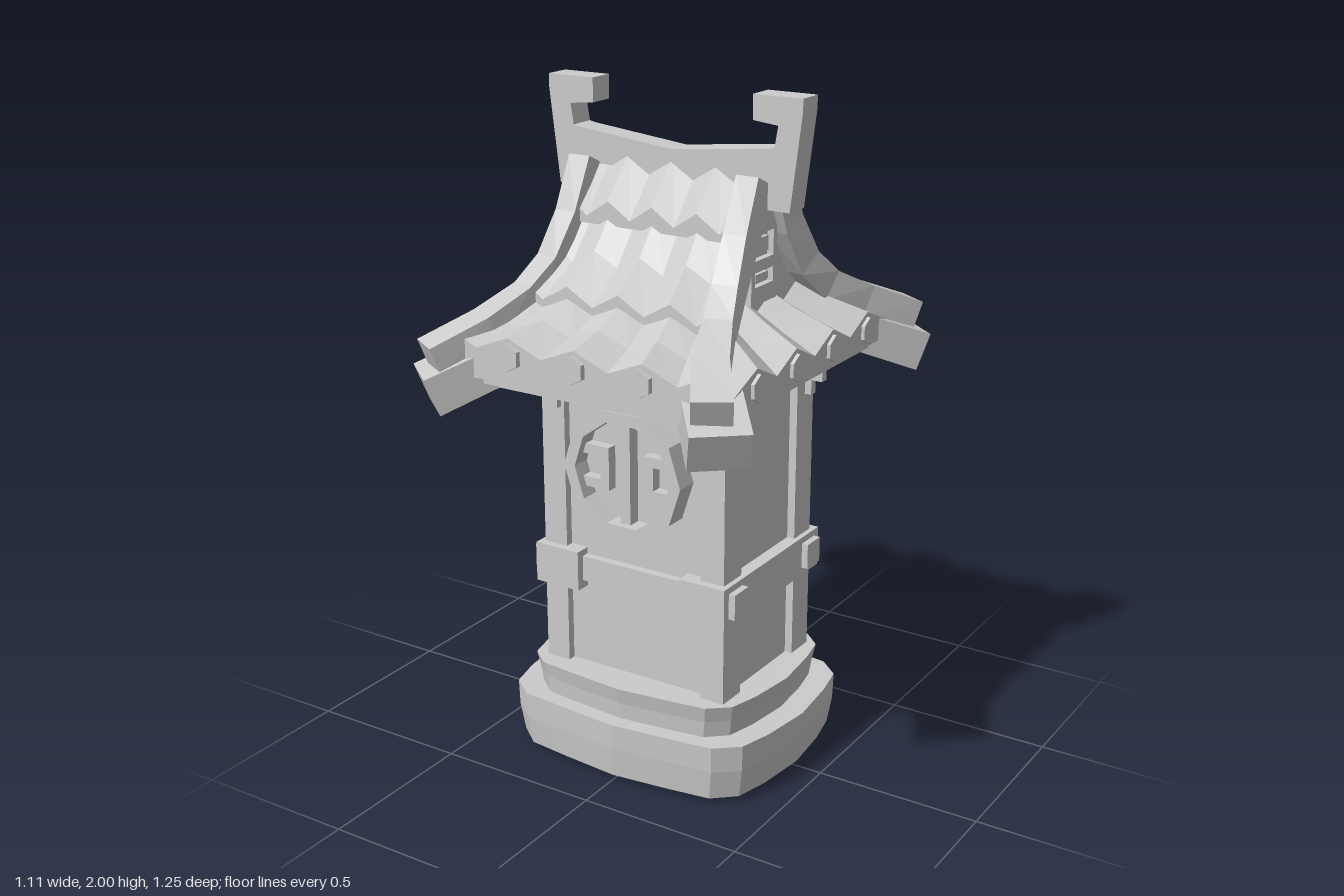
import * as THREE from 'three';

const stone = new THREE.MeshStandardMaterial({ color: 0xcccccc, flatShading: true, side: THREE.DoubleSide });
stone.name = 'stone grey';

function add(parent, name, geometry, x = 0, y = 0, z = 0) {
  const mesh = new THREE.Mesh(geometry, stone);
  mesh.name = name;
  mesh.position.set(x, y, z);
  parent.add(mesh);
  return mesh;
}
// box given by its limits on each axis
function block(parent, name, x0, x1, y0, y1, z0, z1) {
  return add(parent, name, new THREE.BoxGeometry(x1 - x0, y1 - y0, z1 - z0), (x0 + x1) / 2, (y0 + y1) / 2, (z0 + z1) / 2);
}
function outline(points, Type = THREE.Shape) {
  return new Type(points.map(p => new THREE.Vector2(p[0], p[1])));
}
function extrude(shape, depth) {
  return new THREE.ExtrudeGeometry(shape, { depth, bevelEnabled: false });
}

// closed solid through equal rings of points; turned outward by its signed volume
function loft(rings) {
  const tris = [], n = rings[0].length;
  const quad = (a, b, c, d) => tris.push([a, b, c], [a, c, d]);
  for (let r = 0; r + 1 < rings.length; r++)
    for (let i = 0; i < n; i++) {
      const j = (i + 1) % n;
      quad(rings[r][i], rings[r][j], rings[r + 1][j], rings[r + 1][i]);
    }
  const first = rings[0], last = rings[rings.length - 1];
  for (let i = 0; i + 1 < n / 2; i++) {
    quad(first[n - 1 - i], first[n - 2 - i], first[i + 1], first[i]);
    quad(last[i], last[i + 1], last[n - 2 - i], last[n - 1 - i]);
  }
  const cross = new THREE.Vector3();
  const volume = tris.reduce((s, [a, b, c]) => s + a.dot(cross.crossVectors(b, c)), 0);
  const points = tris.flatMap(([a, b, c]) => (volume < 0 ? [a, c, b] : [a, b, c]));
  const geometry = new THREE.BufferGeometry().setFromPoints(points);
  geometry.computeVertexNormals();
  return geometry;
}

// rectangular beam along a path of [x, y, z, width, thickness]
function beam(path, side) {
  const pts = path.map(p => new THREE.Vector3(p[0] * side, p[1], p[2]));
  return loft(pts.map((p, i) => {
    const t = pts[Math.min(i + 1, pts.length - 1)].clone().sub(pts[Math.max(i - 1, 0)]).normalize();
    const s = new THREE.Vector3(t.z, 0, -t.x).normalize();
    const up = new THREE.Vector3().crossVectors(t, s);
    const [, , , w, h] = path[i];
    return [[-1, 1], [1, 1], [1, -1], [-1, -1]].map(([a, b]) =>
      p.clone().addScaledVector(s, a * w / 2).addScaledVector(up, b * h / 2));
  }));
}

// wavy course of tiles: sections of [distance out, y, half width, underside y, wave height]
function tiles(us, hs, sections) {
  return loft(sections.map(([z, y, half, low, amp]) => [
    ...us.map((u, i) => new THREE.Vector3(u * half, y + hs[i] * amp, z)),
    ...us.map(u => new THREE.Vector3(u * half, low, z)).reverse(),
  ]));
}

// uneven plinth with cut corners: levels of [y, half x, half z]
function plinth(levels, seed) {
  const noise = i => Math.sin(i * 12.9 + seed * 4.1);
  const q = [[1, 0], [0.96, 0.45], [0.9, 0.74], [0.74, 0.9], [0.42, 0.95]];
  const plan = [];
  for (let k = 0; k < 4; k++)
    for (const [a, b] of k % 2 ? [[0, 1], ...q.slice(1).reverse()] : q)
      plan.push(k === 0 ? [a, b] : k === 1 ? [-a, b] : k === 2 ? [-a, -b] : [a, -b]);
  return loft(levels.map(([y, hx, hz], l) => plan.map(([a, b], i) => {
    const f = 1 + 0.02 * noise(i);
    return new THREE.Vector3(a * hx * f, y + (l ? 0.008 * noise(i + 7) : 0), b * hz * f);
  })));
}

function windowFrame() {
  const g = new THREE.Group();
  g.name = 'roundWindow';
  const decagon = r => Array.from({ length: 10 }, (_, i) => [r * Math.cos(i * Math.PI / 5), r * Math.sin(i * Math.PI / 5)]);
  const rim = outline(decagon(0.197));
  rim.holes.push(outline(decagon(0.16), THREE.Path));
  add(g, 'windowRim', extrude(rim, 0.095), 0, 0, 0.2);
  add(g, 'windowPane', extrude(outline(decagon(0.165)), 0.035), 0, 0, 0.2);
  block(g, 'windowBar', -0.017, 0.017, -0.158, 0.158, 0.22, 0.275);
  // square loops joined to the rim
  for (const s of [-1, 1]) {
    block(g, 'latticeInner', s * 0.075 - 0.015, s * 0.075 + 0.015, -0.065, 0.065, 0.22, 0.268);
    for (const y of [-0.05, 0.05])
      block(g, 'latticeBar', s * 0.115 - 0.04, s * 0.115 + 0.04, y - 0.015, y + 0.015, 0.22, 0.268);
  }
  g.position.set(-0.005, 0.937, 0);
  return g;
}

function knob(parent, x, y, z) {
  const geometry = new THREE.CylinderGeometry(0.04, 0.042, 0.035, 6).rotateX(Math.PI / 2);
  add(parent, 'eaveKnob', geometry, x, y, z);
}

// everything on the long side: window, beam, brackets, tiles and hip beams
function frontHalf() {
  const g = new THREE.Group();
  g.add(windowFrame());
  block(g, 'crossBeam', -0.345, 0.345, 0.56, 0.637, 0.175, 0.25);

  const us = [-1, -0.87, -0.58, -0.29, 0, 0.29, 0.58, 0.87, 1];
  const hs = [0, -1, 1, -1, 1, -1, 1, -1, 0];
  add(g, 'upperTiles', tiles(us, hs, [[0.02, 1.79, 0.25, 1.72, 0.022], [0.14, 1.655, 0.25, 1.61, 0.024]]));
  add(g, 'middleTiles', tiles(us, hs, [[0.11, 1.645, 0.25, 1.58, 0.02], [0.2, 1.53, 0.26, 1.47, 0.02], [0.31, 1.445, 0.29, 1.39, 0.024]]));
  add(g, 'lowerTiles', tiles(us, hs, [[0.27, 1.435, 0.28, 1.3, 0.018], [0.4, 1.375, 0.32, 1.235, 0.018], [0.52, 1.345, 0.375, 1.235, 0.022]]));
  for (const x of [-0.213, 0, 0.213]) knob(g, x, 1.315, 0.518);

  for (const s of [-1, 1]) {
    block(g, 'cornerPost', s * 0.27 - 0.039, s * 0.27 + 0.039, 0, 1.21, 0.155, 0.25);
    add(g, 'hipBeam', beam([
      [0.275, 1.77, 0.05, 0.07, 0.09], [0.275, 1.62, 0.12, 0.07, 0.09], [0.285, 1.495, 0.2, 0.075, 0.09],
      [0.312, 1.415, 0.29, 0.08, 0.09], [0.365, 1.35, 0.42, 0.1, 0.09], [0.457, 1.285, 0.565, 0.11, 0.085]], s));
    add(g, 'cornerBeam', beam([[0.31, 1.285, 0.36, 0.165, 0.11], [0.477, 1.185, 0.558, 0.165, 0.115]], s));
    // stepped eave bracket
    block(g, 'bracketArm', s * 0.267 - 0.025, s * 0.267 + 0.025, 1.155, 1.21, 0.2, 0.3);
    block(g, 'bracketFoot', s * 0.267 - 0.025, s * 0.267 + 0.025, 1.09, 1.16, 0.2, 0.268);
  }
  return g;
}

// everything on the gable side, modelled facing +z and then turned
function gableHalf() {
  const g = new THREE.Group();
  block(g, 'sideBeam', -0.275, 0.275, 0.535, 0.657, 0.175, 0.325);
  const us = [-1, -0.72, -0.48, -0.24, 0, 0.24, 0.48, 0.72, 1];
  const hs = [-1, 1, -1, 1, -1, 1, -1, 1, -1];
  add(g, 'skirtTiles', tiles(us, hs, [[0.25, 1.415, 0.3, 1.235, 0.02], [0.34, 1.365, 0.36, 1.235, 0.022], [0.445, 1.315, 0.44, 1.235, 0.025]]));
  for (const x of [-0.315, -0.105, 0.105, 0.315]) knob(g, x, 1.285, 0.438);

  // small ladder-shaped vent in the gable
  const rect = (y0, y1, h) => [[-h, y0], [h, y0], [h, y1], [-h, y1]];
  const vent = outline([[-0.07, 1.42], [0.07, 1.42], [0.07, 1.64], [0.045, 1.69], [-0.045, 1.69], [-0.07, 1.64]]);
  vent.holes.push(outline(rect(1.47, 1.512, 0.05), THREE.Path), outline(rect(1.545, 1.618, 0.05), THREE.Path));
  add(g, 'gableVent', extrude(vent, 0.03), 0, 0, 0.25);
  for (const [y0, y1] of [[1.48, 1.502], [1.56, 1.603]]) block(g, 'ventSlat', -0.035, 0.035, y0, y1, 0.25, 0.272);

  for (const s of [-1, 1]) {
    block(g, 'sideBracketArm', s * 0.212 - 0.013, s * 0.212 + 0.013, 1.145, 1.21, 0.27, 0.365);
    block(g, 'sideBracketFoot', s * 0.212 - 0.013, s * 0.212 + 0.013, 1.1, 1.15, 0.27, 0.33);
  }
  return g;
}

export function createModel() {
  const model = new THREE.Group();
  model.name = 'shrineLantern';

  // stepped base and body
  add(model, 'lowerPlinth', plinth([[0.015, 0.425, 0.365], [0.1, 0.44, 0.375], [0.18, 0.442, 0.378]], 1));
  add(model, 'upperPlinth', plinth([[0.17, 0.365, 0.325], [0.23, 0.375, 0.33], [0.28, 0.385, 0.34]], 1));
  block(model, 'body', -0.285, 0.285, 0.012, 1.21, -0.225, 0.225);

  // eave slabs and solid gable under the tiles
  block(model, 'lowerEaveSlab', -0.4, 0.4, 1.2, 1.225, -0.47, 0.47);
  block(model, 'upperEaveSlab', -0.425, 0.425, 1.215, 1.24, -0.5, 0.5);
  const half = [[0.02, 1.76], [0.12, 1.6], [0.2, 1.48], [0.3, 1.39], [0.44, 1.3], [0.44, 1.235]];
  const gable = outline([...half, ...half.map(([z, y]) => [-z, y]).reverse()]);
  add(model, 'gableCore', extrude(gable, 0.52).rotateY(Math.PI / 2), -0.26);

  // ridge with upturned hooked ends
  const hook = [[0.31, 1.858], [0.328, 1.862], [0.338, 1.922], [0.26, 1.93], [0.26, 2], [0.412, 2], [0.412, 1.965], [0.378, 1.69], [0.235, 1.69], [0.235, 1.76]];
  const ridge = outline([[0, 1.825], ...hook, [0, 1.74], ...hook.map(([x, y]) => [-x, y]).reverse()]);
  add(model, 'roofRidge', extrude(ridge, 0.08), 0, 0, -0.04);

  ['front', 'left', 'back', 'right'].forEach((name, i) => {
    const part = i % 2 ? gableHalf() : frontHalf();
    part.name = name + 'Side';
    part.rotation.y = i * Math.PI / 2;
    model.add(part);
  });
  return model;
}
